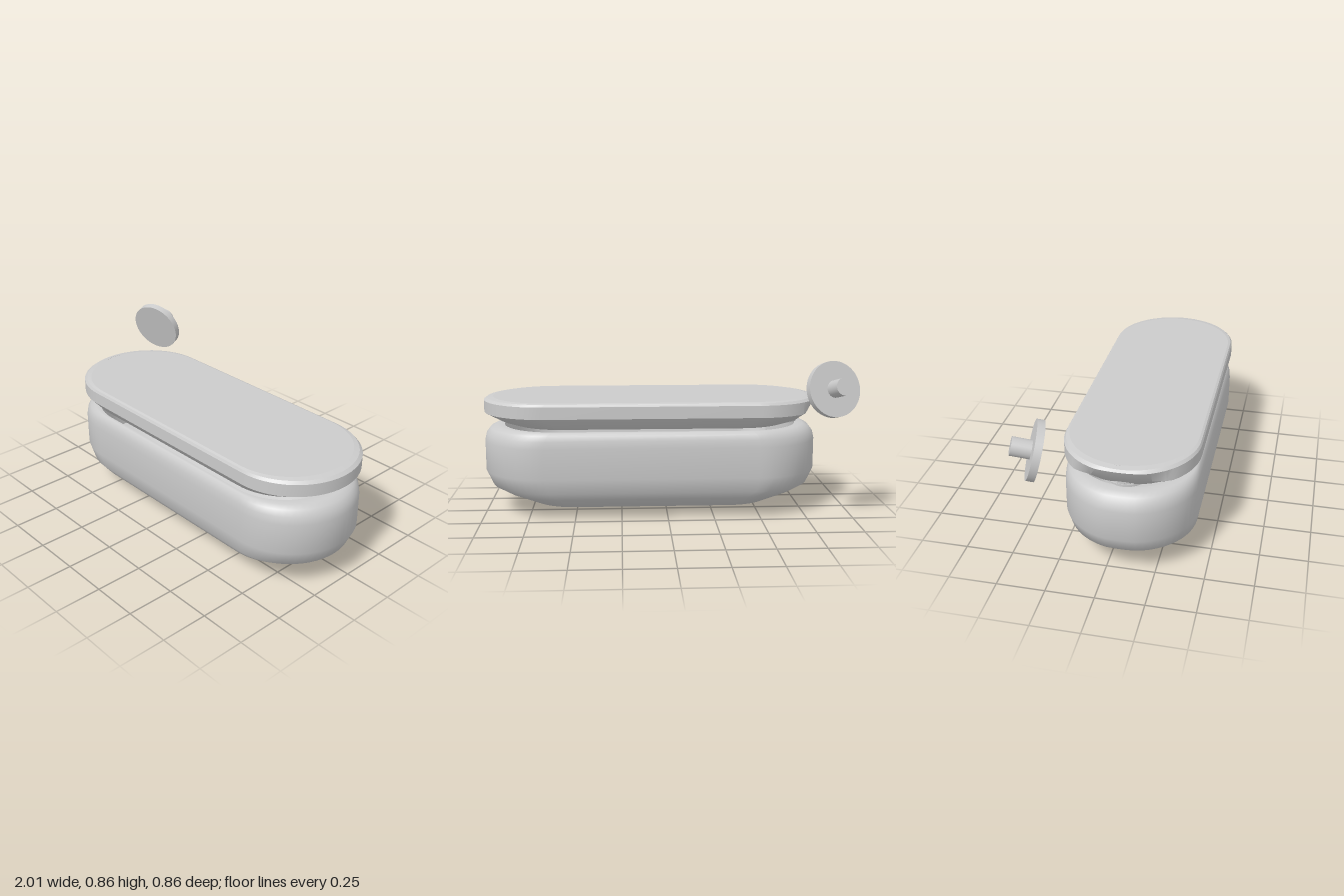
import * as THREE from 'three';
import { toCreasedNormals } from 'three/addons/utils/BufferGeometryUtils.js';

const CX = 0.085, CZ = 0.085;       // centre of the case
const HALF = 0.575, R = 0.345;      // stadium: straight half length and end radius
const HOLE = { x: -0.63, z: 0.085, r: 0.16 };
const TOP = 0.643;

const grey = () => new THREE.MeshStandardMaterial({ color: 0xcccccc, side: THREE.DoubleSide });

function add(parent, name, geometry) {
  const mesh = new THREE.Mesh(geometry, grey());
  mesh.name = name;
  parent.add(mesh);
  return mesh;
}

// Stadium outline whose left end is cut by a shallow arc at x = cut
function outline(scale, cut) {
  const points = [], n = 28;
  for (let side = 0; side < 2; side++) {
    for (let i = 0; i <= n; i++) {
      const a = -Math.PI / 2 + side * Math.PI + (Math.PI * i) / n;
      const s = Math.sin(a) * R * scale;
      let x = CX + scale * ((side ? -HALF : HALF) + Math.cos(a) * R);
      if (side) x = Math.max(x, cut + 0.8 * s * s);
      points.push(new THREE.Vector2(x, CZ + s));
    }
  }
  return points;
}

// Skin through outlines given as [scale, y, cut]
function loft(levels, crease) {
  const pos = [], index = [];
  let n = 0;
  levels.forEach(([scale, y, cut = CX - 0.915 * scale]) => {
    const ring = outline(scale, cut);
    n = ring.length;
    ring.forEach(p => pos.push(p.x, y, p.y));
  });
  for (let j = 0; j < levels.length - 1; j++) {
    for (let i = 0; i < n; i++) {
      const k = (i + 1) % n, a = j * n, b = a + n;
      index.push(a + i, b + i, a + k, a + k, b + i, b + k);
    }
  }
  const g = new THREE.BufferGeometry();
  g.setAttribute('position', new THREE.Float32BufferAttribute(pos, 3));
  g.setIndex(index);
  return toCreasedNormals(g, crease);
}

// Flat plate filling an outline, with the round opening
function plate(scale, cut, y, holeRadius) {
  const shape = new THREE.Shape(outline(scale, cut).map(p => new THREE.Vector2(p.x, -p.y)));
  if (holeRadius) {
    const hole = new THREE.Path();
    hole.absarc(HOLE.x, -HOLE.z, holeRadius, 0, Math.PI * 2, true);
    shape.holes.push(hole);
  }
  return new THREE.ShapeGeometry(shape, 24).rotateX(-Math.PI / 2).translate(0, y, 0);
}

function createBody() {
  // Outer skin from the keel point up, over the rim and down inside
  return loft([
    [0.002, 0.003], [0.3, 0.028], [0.73, 0.062], [0.88, 0.115], [0.96, 0.155],
    [1, 0.235], [1, 0.4], [0.99, 0.44], [0.965, 0.47], [0.93, 0.485],
    [0.88, 0.485], [0.88, 0.22], [0.68, 0.12], [0.002, 0.1],
  ], 0.9);
}

function createLid() {
  const lid = new THREE.Group();
  lid.name = 'lid';
  // Rim, undercut at the left end
  add(lid, 'lidRim', loft([
    [0.83, 0.495, -0.69], [0.905, 0.515, -0.74], [1, 0.56, -0.785],
    [1, 0.625, -0.825], [0.98, 0.638, -0.82], [0.945, TOP, -0.805],
  ], 0.4));
  add(lid, 'lidTop', plate(0.945, -0.805, TOP, HOLE.r));
  add(lid, 'lidUnderside', plate(0.83, -0.69, 0.495));

  // Round recess stepping down to the socket floor
  const profile = [[HOLE.r, TOP], [HOLE.r, 0.57], [0.125, 0.57], [0.125, 0.52], [0.105, 0.505], [0.105, 0.488], [0, 0.488]];
  const recess = new THREE.LatheGeometry(profile.map(p => new THREE.Vector2(...p)), 48);
  add(lid, 'socket', toCreasedNormals(recess, 0.5)).position.set(HOLE.x, 0, HOLE.z);
  const floor = new THREE.CircleGeometry(0.125, 48).rotateX(-Math.PI / 2);
  add(lid, 'socketFloor', floor).position.set(HOLE.x, 0.515, HOLE.z);

  // Ring of tapered gripping teeth
  const tooth = new THREE.Shape([[0.06, -0.012], [0.122, -0.024], [0.122, 0.024], [0.06, 0.012]].map(p => new THREE.Vector2(...p)));
  const toothGeometry = new THREE.ExtrudeGeometry(tooth, { depth: 0.05, bevelEnabled: false }).rotateX(-Math.PI / 2);
  // Inner ends slope downwards
  const p = toothGeometry.attributes.position;
  for (let i = 0; i < p.count; i++) {
    if (p.getX(i) < 0.1 && p.getY(i) > 0.01) p.setY(i, 0.03);
  }
  toothGeometry.computeVertexNormals();
  for (let i = 0; i < 8; i++) {
    const mesh = add(lid, 'socketTooth', toothGeometry);
    mesh.position.set(HOLE.x, 0.513, HOLE.z);
    mesh.rotation.y = (i * Math.PI) / 4;
  }
  return lid;
}

function createPlug() {
  // Loose round cap with a short stem, tilted behind the case
  const plug = new THREE.Group();
  plug.name = 'plug';
  add(plug, 'plugDisc', new THREE.CylinderGeometry(0.147, 0.147, 0.038, 48));
  add(plug, 'plugStem', new THREE.CylinderGeometry(0.046, 0.046, 0.1, 32)).position.y = 0.066;
  const axis = new THREE.Vector3(-0.28, 0.26, -0.92).normalize();
  plug.quaternion.setFromUnitVectors(new THREE.Vector3(0, 1, 0), axis);
  plug.position.set(-0.855, 0.716, -0.304);
  return plug;
}

export function createModel() {
  const model = new THREE.Group();
  model.name = 'case';
  add(model, 'body', createBody());
  model.add(createLid(), createPlug());
  return model;
}
